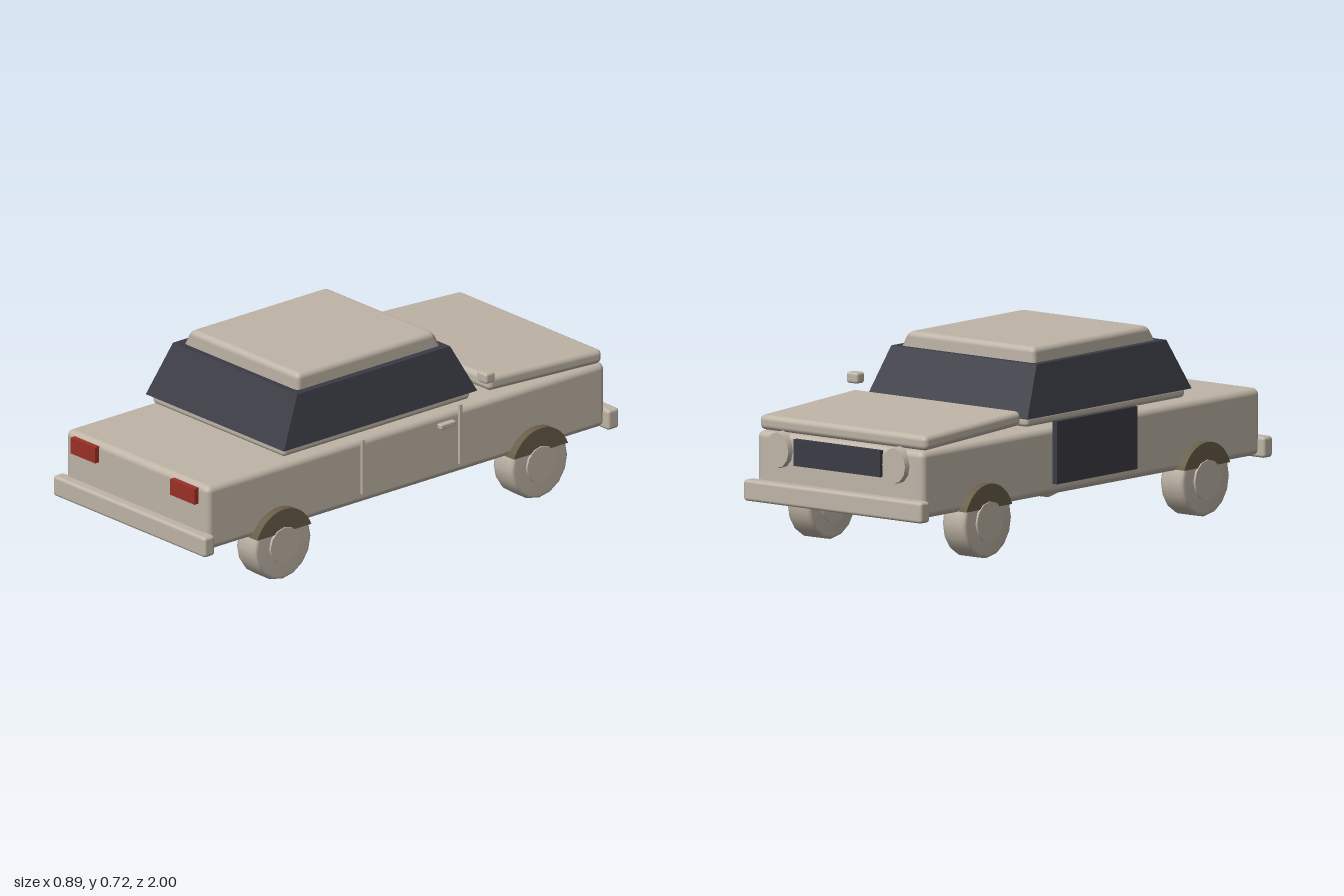
import * as THREE from 'three';
import { RoundedBoxGeometry } from 'three/addons/geometries/RoundedBoxGeometry.js';

const mat = (name, color, flatShading = false) => {
  const m = new THREE.MeshStandardMaterial({ color, flatShading });
  m.name = name;
  return m;
};

export function createModel() {
  const paint = mat('beige paint', 0xbfb5a7);
  const glass = mat('dark glass', 0x3b3b45, true);
  const red = mat('red lamp', 0x9c3028);
  const brown = mat('brown arch', 0x685d48);

  const car = new THREE.Group();
  car.name = 'car';
  const body = new THREE.Group();
  body.name = 'carParts';
  body.position.x = -0.018;
  car.add(body);

  const add = (name, geo, material, x = 0, y = 0, z = 0, parent = body) => {
    const m = new THREE.Mesh(geo, material);
    m.name = name;
    m.position.set(x, y, z);
    parent.add(m);
    return m;
  };
  // Box given by its limits, with optional rounded edges
  const block = (name, material, [x0, x1], [y0, y1], [z0, z1], r = 0) => {
    const s = [x1 - x0, y1 - y0, z1 - z0];
    const geo = r ? new RoundedBoxGeometry(...s, 3, r) : new THREE.BoxGeometry(...s);
    return add(name, geo, material, (x0 + x1) / 2, (y0 + y1) / 2, (z0 + z1) / 2);
  };
  // Narrow a geometry towards its top by the given x and z factors
  const taper = (geo, h, fx, fz) => {
    const p = geo.attributes.position;
    for (let i = 0; i < p.count; i++) {
      const t = p.getY(i) / h + 0.5;
      p.setX(i, p.getX(i) * (1 + (fx - 1) * t));
      p.setZ(i, p.getZ(i) * (1 + (fz - 1) * t));
    }
    geo.computeVertexNormals();
    return geo;
  };

  // Hull, bonnet and bumpers
  block('lowerBody', paint, [-0.394, 0.394], [0.188, 0.437], [-0.957, 0.962], 0.025);
  const bonnet = block('bonnet', paint, [-0.395, 0.395], [0.451, 0.506], [-0.942, -0.395], 0.02);
  bonnet.rotation.x = -0.052;
  for (const s of [-1, 1]) {
    const z = s > 0 ? [0.948, 1] : [-1, -0.946];
    block(s > 0 ? 'rearBumper' : 'frontBumper', paint, [-0.421, 0.421], [0.18, 0.258], z, 0.012);
  }

  // Cabin
  block('cabinSill', paint, [-0.365, 0.365], [0.447, 0.485], [-0.33, 0.57], 0.015);
  add('windows', taper(new THREE.BoxGeometry(0.764, 0.187, 0.932), 0.187, 0.9, 0.79),
    glass, 0, 0.573, 0.118);
  const roof = new RoundedBoxGeometry(0.655, 0.09, 0.72, 3, 0.02);
  const rp = roof.attributes.position;
  for (let i = 0; i < rp.count; i++) {
    const k = 1 - 0.09 * (rp.getY(i) / 0.09 + 0.5);
    rp.setX(i, rp.getX(i) * k);
    rp.setZ(i, rp.getZ(i) * k);
  }
  add('roof', roof, paint, 0, 0.675, 0.115);

  // Wheels with hubs and arches
  const tyreProfile = [[0, -0.055], [0.122, -0.055], [0.133, -0.05], [0.137, -0.038],
    [0.137, 0.038], [0.133, 0.05], [0.122, 0.055], [0, 0.055]]
    .map(([r, y]) => new THREE.Vector2(r, y));
  const tyreGeo = new THREE.LatheGeometry(tyreProfile, 16).rotateZ(-Math.PI / 2);
  const hubGeo = new THREE.CylinderGeometry(0.07, 0.075, 0.128, 12).rotateZ(-Math.PI / 2);
  const archShape = new THREE.Shape();
  archShape.absarc(0, 0, 0.139, 0.36, Math.PI - 0.36, false);
  archShape.closePath();
  const archGeo = new THREE.ExtrudeGeometry(archShape,
    { depth: 0.05, bevelEnabled: false, curveSegments: 10 })
    .translate(0, 0, -0.025).rotateY(Math.PI / 2);
  for (const s of [-1, 1]) for (const z of [0.62, -0.617]) {
    const wheel = new THREE.Group();
    wheel.name = (z > 0 ? 'rear' : 'front') + (s > 0 ? 'Left' : 'Right') + 'Wheel';
    wheel.position.set(s * 0.367, s > 0 ? 0.138 : 0.143, z);
    body.add(wheel);
    add('tyre', tyreGeo, paint, 0, 0, 0, wheel);
    add('hub', hubGeo, paint, 0, 0, 0, wheel);
    add('wheelArch', archGeo, brown, s * 0.034, 0, 0, wheel);
  }

  // Lamps and grille
  const lampGeo = new THREE.CylinderGeometry(0.057, 0.06, 0.035, 12)
    .rotateX(-Math.PI / 2).scale(0.95, 1.15, 1);
  for (const s of [-1, 1]) {
    add('headlamp', lampGeo, paint, s * 0.276, 0.378, -0.963);
    const c = s * 0.275;
    block('tailLamp', red, [c - 0.068, c + 0.068], [0.362, 0.423], [0.955, 0.981]);
  }
  block('grille', glass, [-0.205, 0.205], [0.327, 0.425], [-0.972, -0.95]);

  // Side details
  block('sidePanel', glass, [-0.426, -0.405], [0.232, 0.463], [-0.233, 0.225]);
  block('doorSeamRear', paint, [0.405, 0.417], [0.232, 0.443], [0.224, 0.235]);
  block('doorSeamFront', paint, [0.405, 0.418], [0.232, 0.463], [-0.245, -0.234]);
  block('doorHandle', paint, [0.4, 0.425], [0.39, 0.41], [-0.21, -0.138], 0.005);
  block('wingMirror', paint, [0.408, 0.461], [0.531, 0.572], [-0.367, -0.322], 0.01);

  return car;
}
